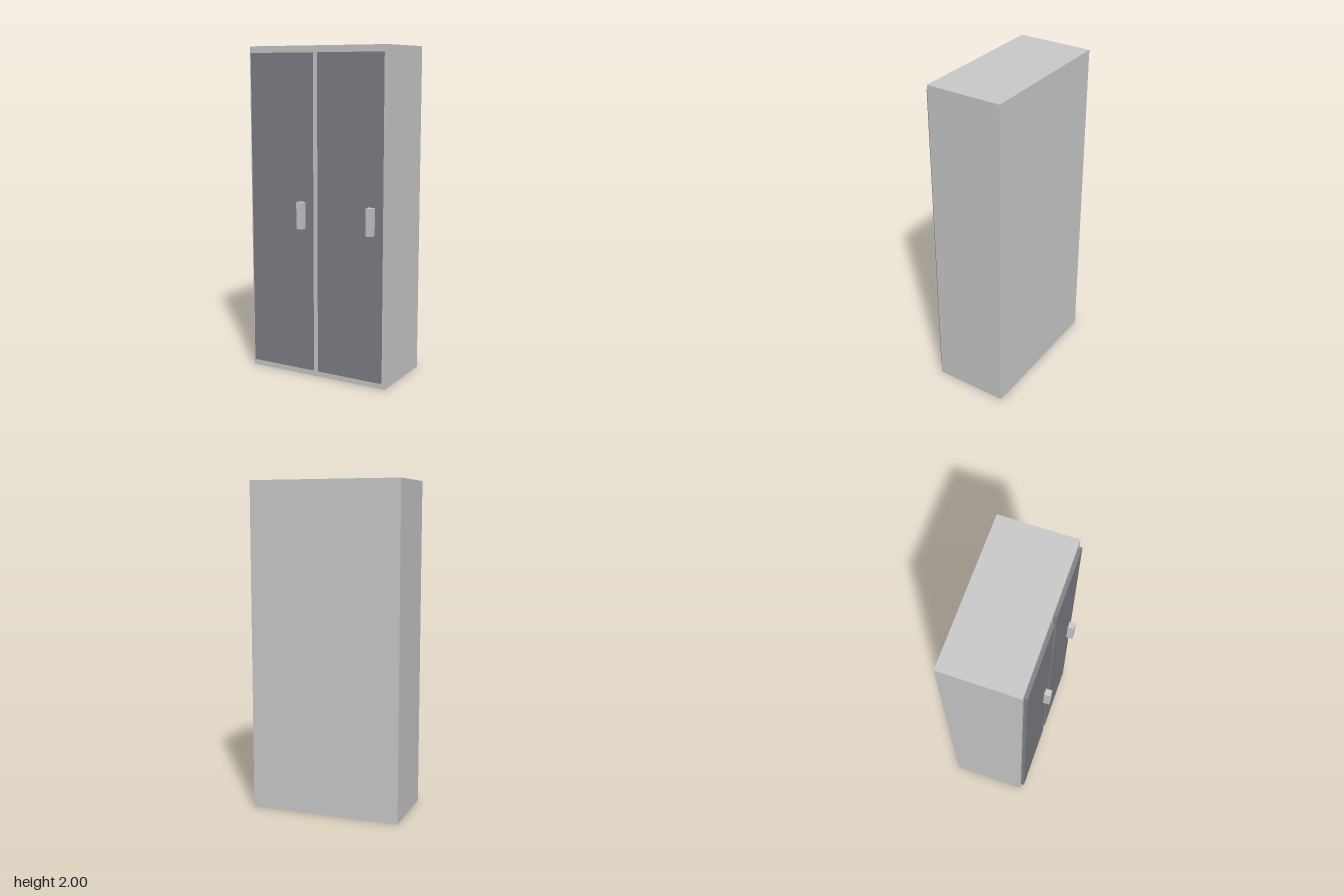
import * as THREE from 'three';

const material = (color) => new THREE.MeshStandardMaterial({ color });

// Box given by its size and the position of its centre
function box(name, [w, h, d], [x, y, z], mat) {
  const mesh = new THREE.Mesh(new THREE.BoxGeometry(w, h, d), mat);
  mesh.name = name;
  mesh.position.set(x, y, z);
  return mesh;
}

export function createModel() {
  const model = new THREE.Group();
  model.name = 'wardrobe';

  const bodyMat = material(0xcccccc);
  const doorMat = material(0x808288);
  const handleMat = material(0xdcdcdc);

  // Carcass
  model.add(box('cabinetBody', [0.928, 2, 0.463], [0, 1, -0.0305], bodyMat));

  // Two doors, each with its handle near the edge on the left
  for (const [side, x] of [['right', -0.232], ['left', 0.232]]) {
    const door = new THREE.Group();
    door.name = side + 'DoorAssembly';
    door.position.x = x;
    door.add(
      box(side + 'Door', [0.424, 1.92, 0.021], [0, 1, 0.2105], doorMat),
      box(side + 'Handle', [0.04, 0.162, 0.041], [0.149, 1.002, 0.2405], handleMat)
    );
    model.add(door);
  }
  return model;
}
